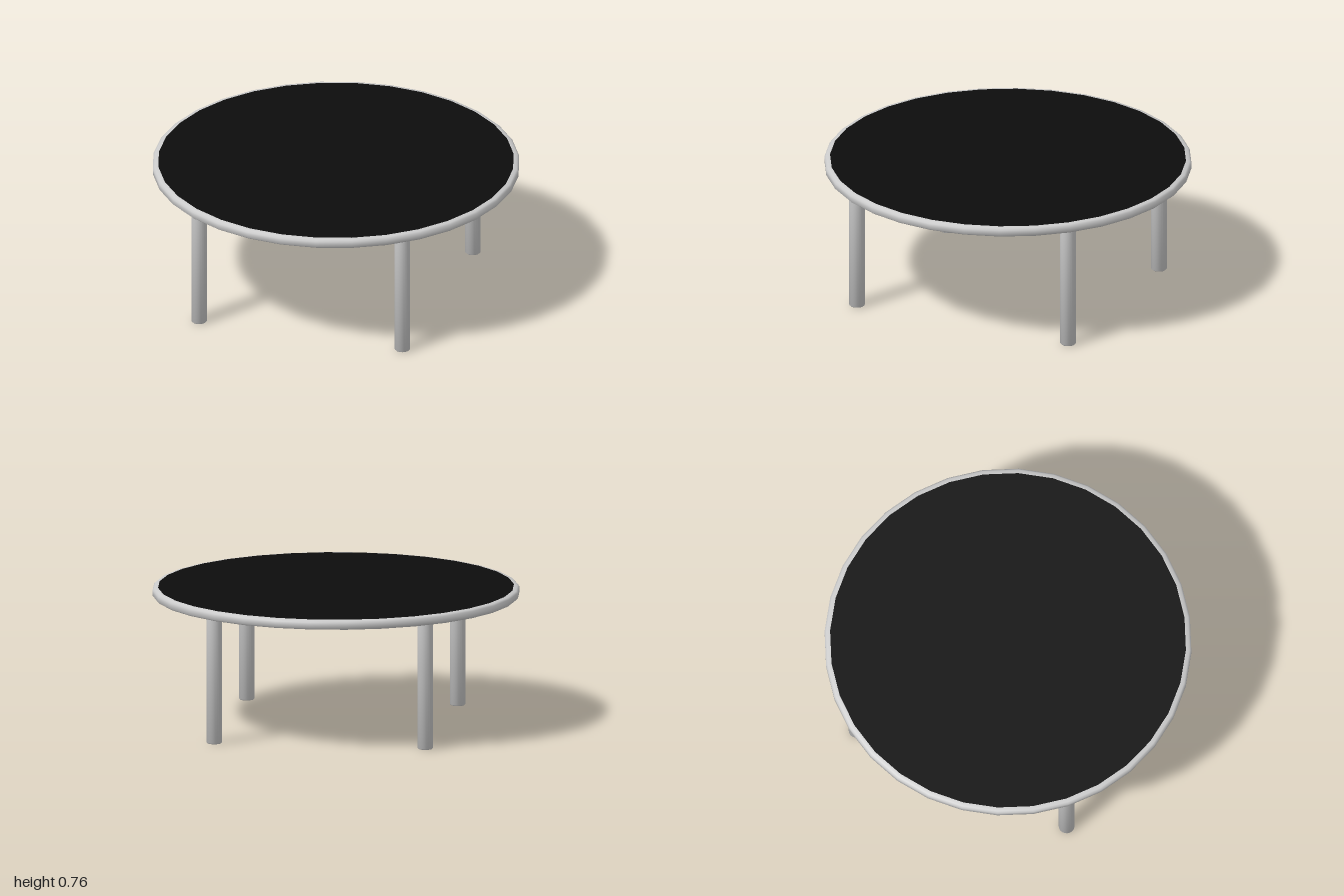
import * as THREE from 'three';
import { toCreasedNormals } from 'three/addons/utils/BufferGeometryUtils.js';

const TOP = 0.765, UNDER = 0.71, INNER = 0.97, SIDES = 32;

// Turned part from a list of [radius, height] points
function turned(name, profile, sides, material) {
  const points = profile.map(([r, y]) => new THREE.Vector2(r, y));
  const geometry = toCreasedNormals(new THREE.LatheGeometry(points, sides), Math.PI / 3.5);
  const mesh = new THREE.Mesh(geometry, material);
  mesh.name = name;
  return mesh;
}

export function createModel() {
  const group = new THREE.Group();
  group.name = 'roundTable';
  const grey = new THREE.MeshStandardMaterial({ color: 0xcccccc });
  const black = new THREE.MeshStandardMaterial({ color: 0x0d0d0d });

  // Dark round panel
  const panel = new THREE.Mesh(
    new THREE.CylinderGeometry(INNER, INNER, TOP - UNDER, SIDES), black);
  panel.name = 'tabletopPanel';
  panel.position.y = (TOP + UNDER) / 2;
  group.add(panel);

  // Bevelled edge band around the panel
  group.add(turned('tabletopRim', [
    [INNER, UNDER], [0.99, UNDER + 0.003], [1, UNDER + 0.012],
    [1, TOP - 0.012], [0.99, TOP - 0.003], [INNER, TOP],
  ], SIDES, grey));

  // Four straight round legs with softened feet
  const legProfile = [[0, 0], [0.037, 0], [0.043, 0.006], [0.043, UNDER]];
  for (const [x, side] of [[0.58, 'Left'], [-0.58, 'Right']]) {
    for (const [z, end] of [[0.635, 'front'], [-0.635, 'back']]) {
      const leg = turned(`${end}${side}Leg`, legProfile, 24, grey);
      leg.position.set(x, 0, z);
      group.add(leg);
    }
  }
  return group;
}
